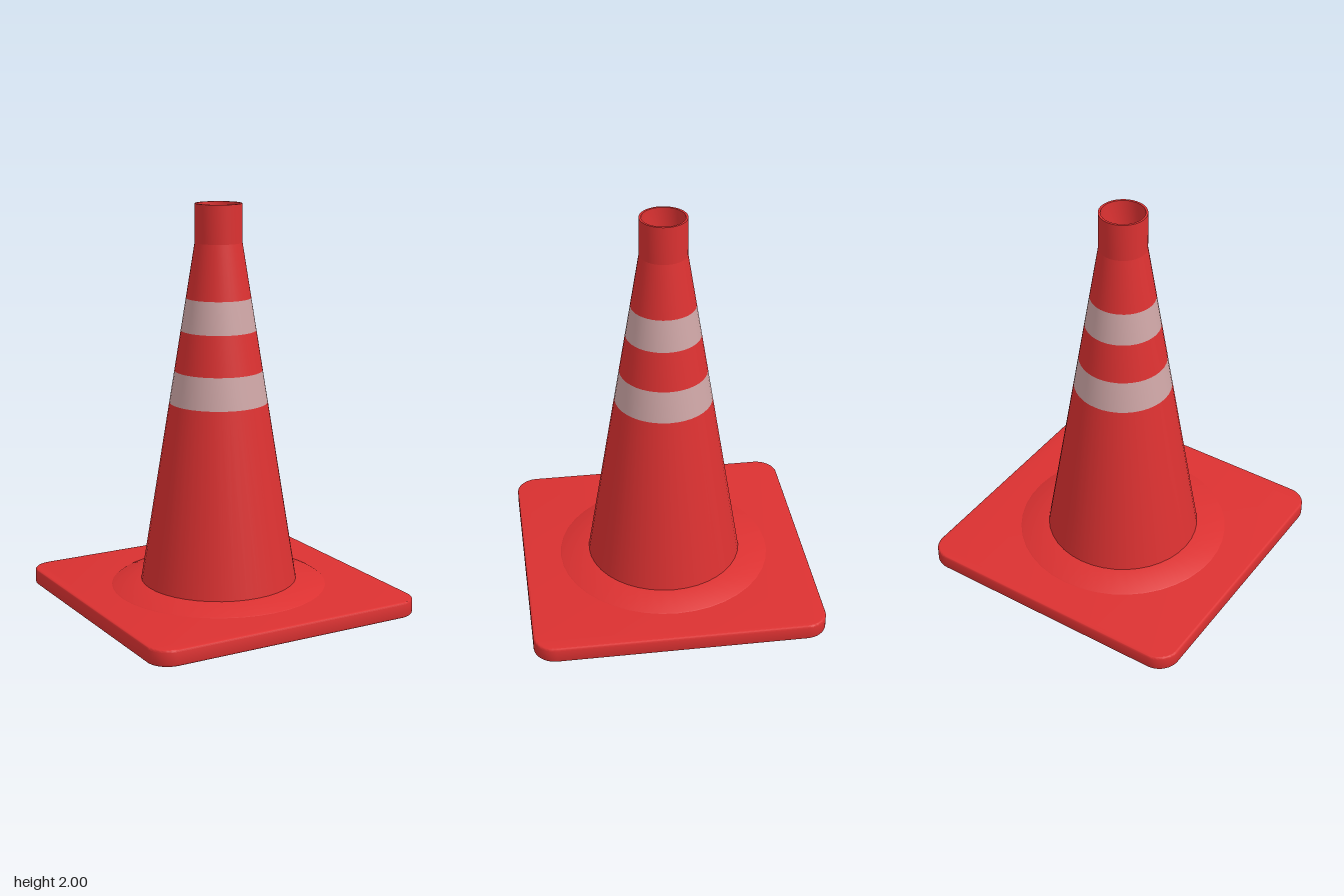
import * as THREE from 'three';
import { toCreasedNormals } from 'three/addons/utils/BufferGeometryUtils.js';

const SEGMENTS = 40;
const red = new THREE.MeshStandardMaterial({ name: 'coneRed', color: 0xdb3131 });
const pale = new THREE.MeshStandardMaterial({ name: 'stripePale', color: 0xcda5a5 });

// Radius of the tapering body at a given height
const bodyRadius = (y) => THREE.MathUtils.mapLinear(y, 0.11, 1.81, 0.393, 0.117);

// Revolved part from [radius, height] pairs, running upwards on the outside
function revolve(name, profile, material) {
  const points = profile.map(([r, y]) => new THREE.Vector2(r, y));
  const geometry = toCreasedNormals(new THREE.LatheGeometry(points, SEGMENTS), 0.5);
  const mesh = new THREE.Mesh(geometry, material);
  mesh.name = name;
  return mesh;
}

// Square foot plate with rounded corners and softened edges
function basePlate() {
  const h = 0.732, r = 0.11, bevel = 0.01, height = 0.08;
  const s = new THREE.Shape();
  s.absarc(h - r, h - r, r, 0, Math.PI / 2);
  s.absarc(-h + r, h - r, r, Math.PI / 2, Math.PI);
  s.absarc(-h + r, -h + r, r, Math.PI, Math.PI * 1.5);
  s.absarc(h - r, -h + r, r, Math.PI * 1.5, Math.PI * 2);
  s.closePath();
  const geometry = new THREE.ExtrudeGeometry(s, {
    depth: height - 2 * bevel, bevelEnabled: true, bevelSize: bevel,
    bevelThickness: bevel, bevelOffset: -bevel, bevelSegments: 3, curveSegments: 8,
  });
  geometry.rotateX(-Math.PI / 2).translate(0, bevel, 0);
  const mesh = new THREE.Mesh(toCreasedNormals(geometry, 0.7), red);
  mesh.name = 'basePlate';
  return mesh;
}

export function createModel() {
  const cone = new THREE.Group();
  cone.name = 'trafficCone';
  cone.add(basePlate());

  // Shallow flange joining the body to the plate
  cone.add(revolve('flange', [[0.545, 0.078], [0.538, 0.083], [0.393, 0.11]], red));

  // Tapered body, alternating red and pale bands
  const heights = [0.11, 1.02, 1.18, 1.38, 1.54, 1.81];
  const names = ['lowerBody', 'lowerStripe', 'middleBody', 'upperStripe', 'upperBody'];
  names.forEach((name, i) => {
    const [y0, y1] = [heights[i], heights[i + 1]];
    cone.add(revolve(name, [[bodyRadius(y0), y0], [bodyRadius(y1), y1]], i % 2 ? pale : red));
  });

  // Straight collar with rim and hollow inside
  cone.add(revolve('collar', [
    [0.117, 1.81], [0.116, 2], [0.105, 2], [0.102, 1.84],
    [0.09, 1.79], [0.06, 1.76], [0.03, 1.745], [0, 1.74],
  ], red));
  return cone;
}
